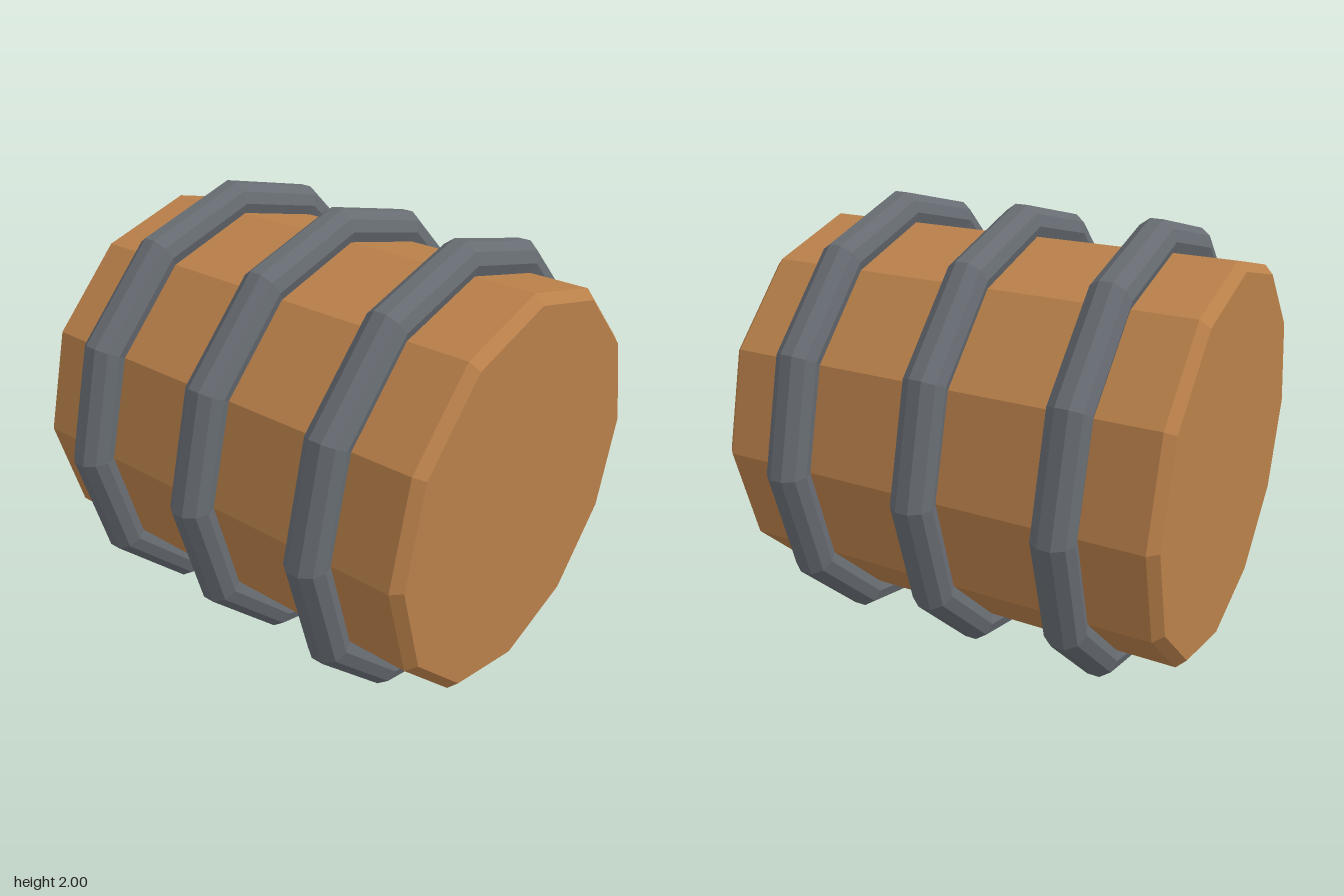
import * as THREE from 'three';

const SIDES = 12;

// Twelve-sided lathe turned so its axis runs front to back, at y = 1
function turned(name, profile, color, z = 0) {
  const points = profile.map(([r, h]) => new THREE.Vector2(r, h));
  const geometry = new THREE.LatheGeometry(points, SIDES).rotateX(Math.PI / 2);
  const mesh = new THREE.Mesh(geometry, new THREE.MeshStandardMaterial({ color, flatShading: true }));
  mesh.name = name;
  mesh.position.set(0, 1, z);
  return mesh;
}

export function createModel() {
  const barrel = new THREE.Group();
  barrel.name = 'barrel';

  // Wooden body with bevelled rims and closed ends
  barrel.add(turned('body', [
    [0, -0.985], [0.83, -0.985], [0.87, -0.945],
    [0.87, 0.945], [0.83, 0.985], [0, 0.985],
  ], 0xb9804a));

  // Metal hoops with a ten-sided section, flat on the outside
  const section = [];
  for (let i = 0; i <= 10; i++) {
    const a = (i - 0.5) * Math.PI / 5;
    section.push([0.915 + 0.0895 * Math.cos(a), 0.0895 * Math.sin(a)]);
  }
  const scale = 1 / section[0][0];
  const hoop = section.map(([r, h]) => [r * scale, h]);
  [['frontHoop', 0.605], ['middleHoop', 0], ['backHoop', -0.605]].forEach(([name, z]) => {
    barrel.add(turned(name, hoop, 0x676c72, z));
  });

  return barrel;
}
